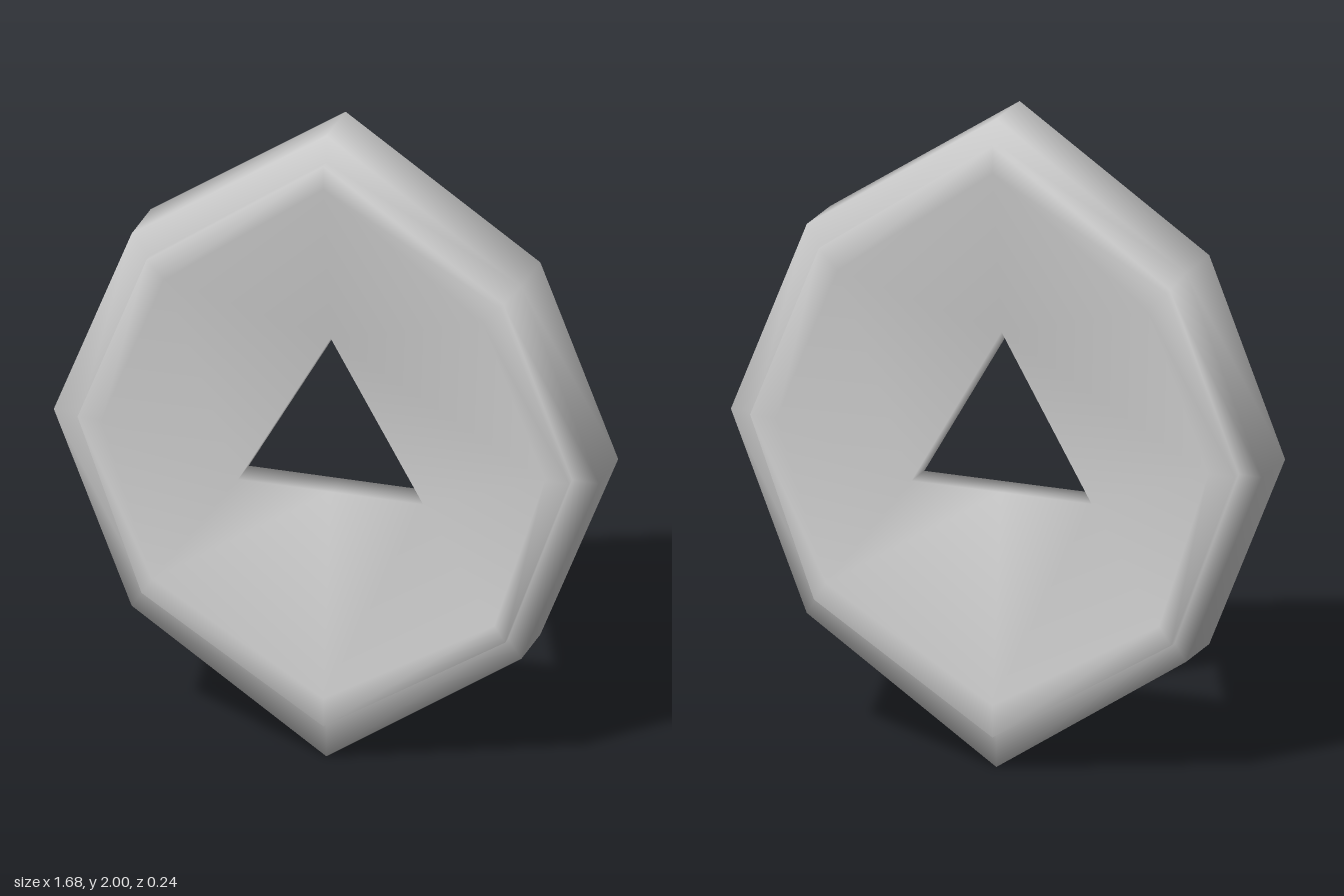
import * as THREE from 'three';
import { mergeVertices } from 'three/addons/utils/BufferGeometryUtils.js';

// Symmetric eight-point loop, clockwise from the top, given its right half
const loop = (half, z) => [
  ...half, ...half.slice(1, -1).reverse().map(([x, y]) => [-x, y]),
].map(([x, y]) => new THREE.Vector3(x, y, z));

// Closed skin over successive loops; the last joins back to the first
function loft(loops) {
  const n = loops[0].length, index = [];
  loops.forEach((_, k) => {
    const a = k * n, b = ((k + 1) % loops.length) * n;
    for (let i = 0; i < n; i++) {
      const j = (i + 1) % n;
      index.push(a + i, a + j, b + j, a + i, b + j, b + i);
    }
  });
  let geometry = new THREE.BufferGeometry().setFromPoints(loops.flat());
  geometry.setIndex(index);
  geometry = mergeVertices(geometry); // one vertex per hole corner, for soft shading
  geometry.computeVertexNormals();
  return geometry;
}

export function createModel() {
  const hole = [[0, 1.33], [0, 1.33], [0.285, 0.835], [0.285, 0.835], [0, 0.835]];
  const dish = [[0, 1.84], [0.49, 1.48], [0.683, 1], [0.527, 0.51], [0, 0.2]];
  const rimFront = [[0, 1.915], [0.545, 1.535], [0.757, 1], [0.56, 0.46], [0, 0.11]];
  const rimBack = [[0, 1.925], [0.55, 1.54], [0.767, 1], [0.565, 0.455], [0, 0.1]];
  const outer = [[0, 2], [0.6, 1.6], [0.84, 1], [0.6, 0.4], [0, 0]];

  // Front hole edge, out over the rim, round the back, and through the hole
  const medallion = new THREE.Mesh(
    loft([
      loop(hole, 0.05), loop(dish, 0.12), loop(rimFront, 0.12), loop(rimFront, 0.09),
      loop(outer, 0.09), loop(outer, -0.09),
      loop(rimBack, -0.09), loop(rimBack, -0.12), loop(dish, -0.12), loop(hole, -0.05),
    ]),
    new THREE.MeshStandardMaterial({ color: 0xcccccc }),
  );
  medallion.name = 'medallion';

  const group = new THREE.Group();
  group.name = 'octagonalMedallion';
  group.add(medallion);
  return group;
}
